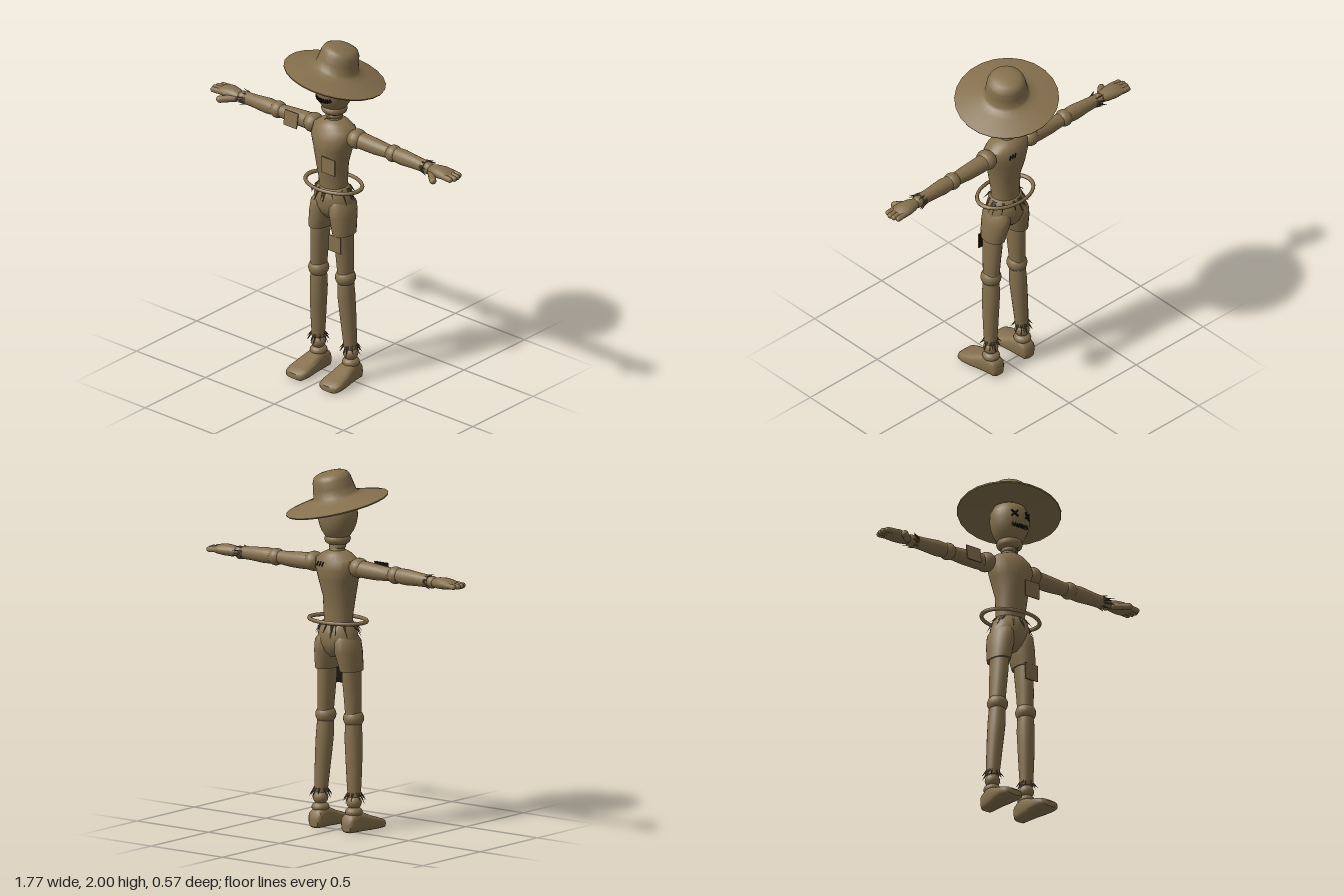
import * as THREE from 'three';
import { toCreasedNormals } from 'three/addons/utils/BufferGeometryUtils.js';

const burlap = new THREE.MeshStandardMaterial({ color: 0x85704d });
burlap.name = 'burlap';
const thread = new THREE.MeshStandardMaterial({ color: 0x15120b });
thread.name = 'dark thread';
const straw = new THREE.MeshStandardMaterial({ color: 0x5e4e34 });
straw.name = 'straw';
const V = (x, y, z) => new THREE.Vector3(x, y, z);

export function createModel() {
  const model = new THREE.Group();
  model.name = 'scarecrow';

  const add = (name, geo, mat = burlap, parent = model) => {
    const m = new THREE.Mesh(geo, mat);
    m.name = name;
    parent.add(m);
    return m;
  };

  // Capped loft along y; each section is [y, cx, cz, rx, rz], pw < 1 squares the rings
  const loft = (secs, n = 20, pw = 1) => {
    const pos = [], idx = [];
    const sp = (v) => Math.sign(v) * Math.abs(v) ** pw;
    for (const [y, cx, cz, rx, rz] of secs)
      for (let i = 0; i < n; i++) {
        const a = (i / n) * Math.PI * 2;
        pos.push(cx + rx * sp(Math.sin(a)), y, cz + rz * sp(Math.cos(a)));
      }
    for (let j = 0; j < secs.length - 1; j++)
      for (let i = 0; i < n; i++) {
        const a = j * n + i, b = j * n + (i + 1) % n;
        idx.push(a, b, b + n, a, b + n, a + n);
      }
    const last = secs.length - 1;
    for (const [row, up] of [[0, false], [last, true]]) {
      const c = pos.length / 3, s = secs[row];
      pos.push(s[1], s[0], s[2]);
      for (let i = 0; i < n; i++) {
        const a = row * n + i, b = row * n + (i + 1) % n;
        up ? idx.push(a, b, c) : idx.push(b, a, c);
      }
    }
    const g = new THREE.BufferGeometry();
    g.setAttribute('position', new THREE.Float32BufferAttribute(pos, 3));
    g.setIndex(idx);
    return toCreasedNormals(g, 0.8);
  };

  const ball = (name, x, y, z, rx, ry = rx, rz = rx) => {
    const m = add(name, new THREE.SphereGeometry(1, 18, 12).scale(rx, ry, rz));
    m.position.set(x, y, z);
    return m;
  };
  // Aim a y-axis geometry from p to q
  const aim = (m, p, q) => {
    m.position.copy(p).lerp(q, 0.5);
    m.quaternion.setFromUnitVectors(V(0, 1, 0), q.clone().sub(p).normalize());
    return m;
  };
  const capsule = (name, p, q, r) =>
    aim(add(name, new THREE.CapsuleGeometry(r, p.distanceTo(q), 5, 10)), p, q);

  // Ring of straw spikes; at(angle, flare, along) gives a point
  const tuft = (name, n, length, at) => {
    const g = new THREE.Group();
    g.name = name;
    model.add(g);
    for (let i = 0; i < n; i++) {
      const a = (i / n) * Math.PI * 2 + 0.25 * Math.sin(i * 5);
      const len = length * (0.75 + 0.25 * Math.sin(i * 2.3));
      const p = at(a, 0, 0), q = at(a, 0.03, len);
      aim(add('strawSpike', new THREE.ConeGeometry(0.007, p.distanceTo(q), 4), straw, g), p, q);
    }
  };

  // Head and neck
  add('head', loft([[1.61, 0, 0, 0.045, 0.045], [1.645, 0, 0.003, 0.073, 0.073],
    [1.67, 0, 0.004, 0.09, 0.088], [1.7, 0, 0.005, 0.102, 0.1], [1.75, 0, 0.005, 0.113, 0.108],
    [1.8, 0, 0.004, 0.109, 0.105], [1.84, 0, 0.002, 0.087, 0.085], [1.865, 0, 0, 0.045, 0.045]], 28));
  add('neck', loft([[1.52, 0, 0, 0.07, 0.065], [1.555, 0, 0, 0.043, 0.045], [1.63, 0, 0, 0.04, 0.042]]));
  [[1.622, 0.044, 0.029], [1.582, 0.034, 0.014]].forEach(([y, r, t]) => {
    add('neckRoll', new THREE.TorusGeometry(r, t, 10, 24).rotateX(Math.PI / 2)).position.set(0, y, 0.003);
  });
  aim(add('neckKnot', new THREE.ConeGeometry(0.012, 0.05, 6)), V(0, 1.575, 0.035), V(0, 1.58, 0.095));

  // Stitched face
  const stitch = (name, x, y, r, w, h, roll) => {
    const m = add(name, new THREE.BoxGeometry(w, h, 0.008), thread);
    m.position.set(x, y, 0.006 + 0.98 * Math.sqrt(r * r - x * x));
    m.rotation.set(0, Math.asin(x / r), roll, 'YXZ');
  };
  for (const s of [1, -1]) for (const roll of [1, -1])
    stitch('eyeStitch', s * 0.043, 1.767, 0.112, 0.05, 0.009, roll * Math.PI / 4);
  for (let i = -4; i <= 4; i++) {
    const y = 1.699 + 0.0004 * i * i;
    stitch('mouthSeam', i * 0.012, y, 0.102, 0.015, 0.009, 0);
    stitch('mouthStitch', i * 0.012, y, 0.103, 0.005, 0.024, 0.15 * (i % 2));
  }

  // Tilted straw hat
  const hatProfile = [[0.001, 0.03], [0.1, 0.022], [0.2, 0.008], [0.284, -0.008], [0.287, 0], [0.24, 0.014],
    [0.18, 0.03], [0.135, 0.042], [0.121, 0.055], [0.113, 0.1], [0.106, 0.14], [0.096, 0.162],
    [0.075, 0.174], [0.04, 0.181], [0, 0.183]].map(([x, y]) => new THREE.Vector2(x, y));
  const hat = add('hat', toCreasedNormals(new THREE.LatheGeometry(hatProfile, 24), 0.9));
  hat.position.set(0, 1.817, 0);
  hat.quaternion.setFromUnitVectors(V(0, 1, 0), V(0.17, 1, -0.15).normalize());

  // Torso, hips and hoop belt
  add('torso', loft([[1.12, 0, 0.01, 0.083, 0.073], [1.2, 0, 0.012, 0.085, 0.074],
    [1.3, 0, 0.02, 0.093, 0.087], [1.4, 0, 0.012, 0.114, 0.107], [1.46, 0, 0.01, 0.135, 0.108],
    [1.51, 0, 0, 0.13, 0.094], [1.54, 0, 0, 0.09, 0.075], [1.56, 0, 0, 0.045, 0.05]], 28));
  add('hips', loft([[0.97, 0, 0.005, 0.03, 0.05], [1.0, 0, 0.006, 0.075, 0.08], [1.05, 0, 0.007, 0.124, 0.097],
    [1.1, 0, 0.008, 0.116, 0.096], [1.15, 0, 0.01, 0.1, 0.085], [1.165, 0, 0.01, 0.085, 0.07]], 24));
  add('hoopBelt', new THREE.TorusGeometry(1, 0.07, 8, 36).rotateX(Math.PI / 2).scale(0.176, 0.16, 0.124))
    .position.set(0.002, 1.17, 0.01);
  tuft('waistStraw', 18, 0.08, (a, f, d) =>
    V(Math.sin(a) * (0.092 + 1.6 * f), 1.155 - d, 0.01 + Math.cos(a) * (0.082 + f)));
  for (let i = 0; i < 3; i++) {
    const m = add('backStitch', new THREE.BoxGeometry(0.005, 0.025, 0.006), thread);
    m.position.set(0.025 + i * 0.018, 1.49, -0.096);
    m.rotation.set(0.2, 0, 0.4);
  }

  // Cloth patches, dark on the back face
  for (const [name, x, y, z, w, h, rx] of [['chestPatch', 0.063, 1.327, 0.125, 0.095, 0.095, 0],
    ['thighPatch', 0.082, 0.848, 0.092, 0.085, 0.095, 0], ['sleevePatch', -0.278, 1.475, 0.045, 0.095, 0.088, -0.15]]) {
    const m = add(name, new THREE.BoxGeometry(w, h, 0.006), [burlap, burlap, burlap, burlap, burlap, thread]);
    m.position.set(x, y, z);
    m.rotation.x = rx;
  }

  for (const s of [1, -1]) {
    const side = s > 0 ? 'left' : 'right';
    const limb = (name, secs, n, pw) => add(side + name, loft(secs.map(([y, cx, ...r]) => [y, cx * s, ...r]), n, pw));
    // Sections along x become [x, cy, cz, ry, rz]
    const armLoft = (name, secs) => {
      const g = loft(secs.map(([x, cy, cz, ry, rz]) => [x, -s * cy, cz, ry, rz]));
      add(side + name, g.rotateZ(-s * Math.PI / 2));
    };

    // Arm
    ball(side + 'Shoulder', s * 0.157, 1.478, -0.005, 0.052, 0.055, 0.062);
    armLoft('UpperArm', [[0.15, 1.475, -0.008, 0.046, 0.05], [0.22, 1.473, -0.01, 0.047, 0.047],
      [0.3, 1.47, -0.01, 0.044, 0.044], [0.4, 1.47, -0.01, 0.036, 0.037]]);
    ball(side + 'Elbow', s * 0.417, 1.47, -0.01, 0.046, 0.048, 0.05);
    armLoft('Forearm', [[0.43, 1.47, -0.01, 0.04, 0.04], [0.49, 1.469, -0.01, 0.045, 0.043],
      [0.58, 1.467, -0.01, 0.038, 0.036], [0.655, 1.465, -0.01, 0.035, 0.033]]);
    ball(side + 'Wrist', s * 0.672, 1.463, -0.01, 0.034, 0.035, 0.034);
    tuft(side + 'WristStraw', 10, 0.065, (a, f, d) =>
      V(s * (0.635 + d), 1.465 + Math.sin(a) * (0.03 + 0.4 * f), -0.01 + Math.cos(a) * (0.03 + f)));

    // Hand
    armLoft('Palm', [[0.685, 1.463, -0.01, 0.024, 0.027], [0.72, 1.465, -0.01, 0.031, 0.042],
      [0.77, 1.467, -0.012, 0.032, 0.053], [0.81, 1.466, -0.013, 0.026, 0.053], [0.835, 1.465, -0.013, 0.012, 0.045]]);
    [0.855, 0.865, 0.868, 0.858].forEach((x, i) => {
      const z = -0.051 + i * 0.026;
      capsule(side + 'Finger', V(s * 0.79, 1.468, z), V(s * x, 1.463, z), 0.0155);
    });
    capsule(side + 'Thumb', V(s * 0.712, 1.452, 0.015), V(s * 0.772, 1.447, 0.07), 0.02);

    // Leg
    limb('ShortsLeg', [[0.895, 0.086, 0.018, 0.056, 0.078], [0.94, 0.08, 0.016, 0.061, 0.084],
      [1.0, 0.071, 0.011, 0.066, 0.093], [1.06, 0.064, 0.008, 0.063, 0.094], [1.1, 0.055, 0.008, 0.045, 0.07]]);
    limb('Thigh', [[0.65, 0.097, 0.02, 0.042, 0.05], [0.75, 0.092, 0.021, 0.045, 0.056],
      [0.85, 0.086, 0.021, 0.047, 0.063], [0.93, 0.084, 0.02, 0.048, 0.065]]);
    ball(side + 'Knee', s * 0.097, 0.63, 0.022, 0.057, 0.053, 0.059);
    limb('Shin', [[0.2, 0.116, 0.004, 0.036, 0.036], [0.3, 0.112, 0.008, 0.042, 0.041],
      [0.42, 0.106, 0.014, 0.046, 0.048], [0.52, 0.1, 0.018, 0.048, 0.052], [0.6, 0.098, 0.02, 0.044, 0.048]]);
    tuft(side + 'AnkleStraw', 12, 0.06, (a, f, d) =>
      V(s * 0.117 + Math.sin(a) * (0.034 + f), 0.222 - d, 0.003 + Math.cos(a) * (0.034 + f)));
    ball(side + 'Ankle', s * 0.117, 0.168, 0.002, 0.042, 0.04, 0.042);
    ball(side + 'AnkleCuff', s * 0.117, 0.115, 0, 0.048, 0.032, 0.05);

    // Foot, lofted heel to toe as [z, x, -y, half width, half height]
    add(side + 'Foot', loft([[-0.066, 0.114, -0.04, 0.03, 0.028], [-0.052, 0.114, -0.052, 0.044, 0.048],
      [0, 0.115, -0.062, 0.05, 0.06], [0.05, 0.118, -0.055, 0.056, 0.053], [0.1, 0.121, -0.044, 0.065, 0.042],
      [0.16, 0.122, -0.034, 0.07, 0.032], [0.195, 0.122, -0.028, 0.062, 0.026], [0.208, 0.122, -0.026, 0.045, 0.016]]
      .map(([z, x, ...r]) => [z, x * s, ...r]), 24, 0.65).rotateX(Math.PI / 2));
  }
  return model;
}
